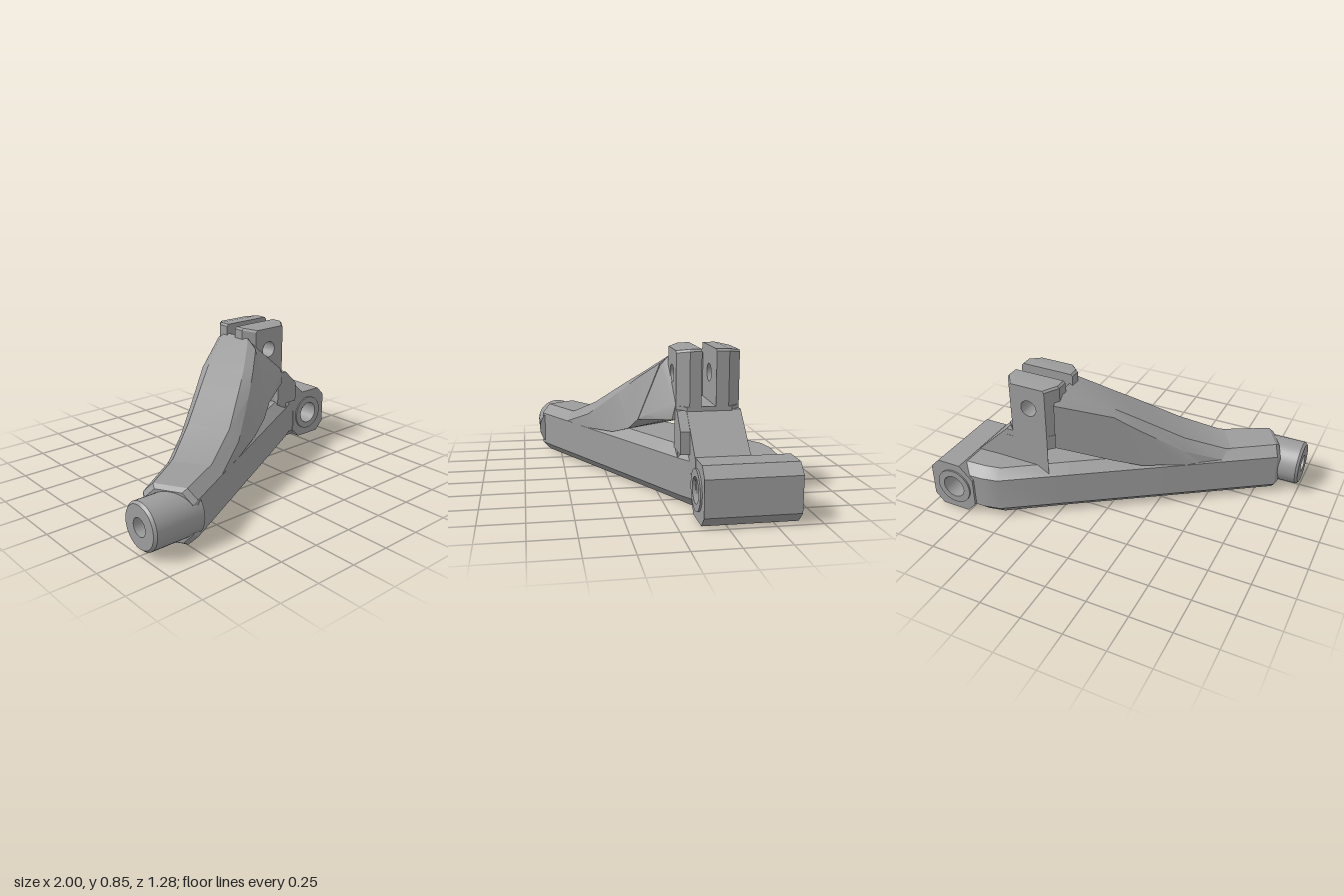
import * as THREE from 'three';
import { toCreasedNormals } from 'three/addons/utils/BufferGeometryUtils.js';
import { ConvexGeometry } from 'three/addons/geometries/ConvexGeometry.js';

const V = (x, y, z) => new THREE.Vector3(x, y, z);
const shapeOf = (pts) => new THREE.Shape(pts.map(([x, y]) => new THREE.Vector2(x, y)));

// Arm frame: s runs along the arm, t across it towards the front.
const C = Math.cos(Math.PI / 6), S = 0.5;
const arm = (s, y, t) => V(s * C + t * S, y, -s * S + t * C);
const nearT = (s) => 0.176 + 0.036 * (s + 0.956);
const farT = (s) => -0.125 - 0.07 * (s + 0.956);

// Skin a row of convex sections and cap both ends.
function loft(sections) {
  const pos = [];
  const tri = (...p) => p.forEach((v) => pos.push(v.x, v.y, v.z));
  const n = sections[0].length, last = sections[sections.length - 1];
  for (let i = 0; i < sections.length - 1; i++) {
    const a = sections[i], b = sections[i + 1];
    for (let j = 0; j < n; j++) {
      const k = (j + 1) % n;
      tri(a[j], a[k], b[k]);
      tri(a[j], b[k], b[j]);
    }
  }
  for (let j = 1; j < n - 1; j++) {
    tri(sections[0][0], sections[0][j + 1], sections[0][j]);
    tri(last[0], last[j], last[j + 1]);
  }
  const g = new THREE.BufferGeometry();
  g.setAttribute('position', new THREE.Float32BufferAttribute(pos, 3));
  g.computeVertexNormals();
  return g;
}

// Chamfered rectangular section between a near and a far edge.
function octagon(near, far, y0, y1, c = 0.057) {
  const d = far.clone().sub(near).normalize().multiplyScalar(c);
  const N = (y, k) => near.clone().addScaledVector(d, k).setY(y);
  const F = (y, k) => far.clone().addScaledVector(d, -k).setY(y);
  return [F(y1, 1), N(y1, 1), N(y1 - c, 0), N(y0 + c, 0), N(y0, 1), F(y0, 1), F(y0 + c, 0), F(y1 - c, 0)];
}

// Side profile extruded along z, with optional round hole [x, y, r].
function sideExtrude(shape, z0, z1, hole, steps = 1) {
  if (hole) shape.holes.push(new THREE.Path().absarc(hole[0], hole[1], hole[2], 0, Math.PI * 2, true));
  return new THREE.ExtrudeGeometry(shape, { depth: z1 - z0, bevelEnabled: false, steps, curveSegments: 20 })
    .translate(0, 0, z0);
}

// Plan outline [x, z] extruded upwards.
function planExtrude(pts, y0, y1) {
  return new THREE.ExtrudeGeometry(shapeOf(pts.map(([x, z]) => [x, -z])), { depth: y1 - y0, bevelEnabled: false })
    .rotateX(-Math.PI / 2).translate(0, y0, 0);
}

// Fork prong: pierced plate whose outer face is drawn in at the corners.
function prong(z0, z1, outerZ) {
  const outline = shapeOf([[0.24, 0.47], [0.58, 0.47], [0.58, 0.838], [0.568, 0.85], [0.252, 0.85], [0.24, 0.838]]);
  const g = sideExtrude(outline, z0, z1, [0.41, 0.7, 0.05], 2);
  const p = g.attributes.position;
  for (let i = 0; i < p.count; i++) {
    if (Math.abs(p.getZ(i) - outerZ) > 0.001) continue;
    if (p.getX(i) < 0.26) p.setX(i, p.getX(i) + 0.06);
    if (p.getX(i) > 0.56) p.setX(i, p.getX(i) - 0.05);
    if (p.getY(i) > 0.8) p.setY(i, p.getY(i) - 0.012);
  }
  return g;
}

export function createModel() {
  const group = new THREE.Group();
  const grey = new THREE.MeshStandardMaterial({ color: 0x9c9c9c });
  grey.name = 'grey';
  const add = (name, geo) => {
    const mesh = new THREE.Mesh(toCreasedNormals(geo, 0.5), grey);
    mesh.name = name;
    group.add(mesh);
  };

  // Lower beam, widening towards the pivot block
  const beamAt = (s, inset = 0) =>
    octagon(arm(s, 0, nearT(s) - inset), arm(s, 0, farT(s) + inset), inset, 0.32 - inset);
  add('lowerBeam', loft([
    beamAt(-0.956, 0.018), beamAt(-0.93), beamAt(-0.3), beamAt(0.35),
    octagon(V(0.6, 0, -0.08), V(0.55, 0, -0.6), 0, 0.32),
    octagon(V(0.67, 0, -0.125), V(0.65, 0, -0.62), 0, 0.32),
    octagon(V(0.78, 0, -0.13), V(0.78, 0, -0.62), 0, 0.315),
  ]));

  // Rising strut above the triangular opening: s, underside, shoulder, top, near inset
  const strut = [
    [-0.8, 0.1, 0.25, 0.31, 0.003],
    [-0.61, 0.1, 0.262, 0.322, 0.001],
    [-0.35, 0.265, 0.355, 0.425, 0.004],
    [-0.08, 0.29, 0.525, 0.58, 0.045],
    [0.08, 0.34, 0.635, 0.67, 0.075],
  ].map(([s, yb, ys, yt, inset]) => {
    const n = nearT(s), f = farT(s);
    return [arm(s, yt, f + 0.055), arm(s, yt, n - inset - 0.055), arm(s, ys, n - inset),
      arm(s, yb, n), arm(s, yb, f), arm(s, ys, f + 0.01)];
  });
  strut.push([[0.79, -0.33], [0.79, -0.1], [0.735, -0.03], [0.41, 0.1], [0.46, -0.395], [0.74, -0.39]]
    .map(([y, z]) => V(0.26, y, z)));
  add('risingStrut', loft(strut));

  // Shoulder blending the strut into the front prong
  const shoulder = [[0.25, 0.41, 0.1], [0.25, 0.73, -0.03], [0.33, 0.45, 0.06], [0.52, 0.46, -0.05],
    [0.52, 0.55, -0.071], [0.26, 0.77, -0.075]];
  add('strutShoulder', new ConvexGeometry(
    shoulder.flatMap(([x, y, z]) => [V(x, y, z), V(x, y, -0.18)])));

  // Fork with its base and the column beneath
  add('frontProng', prong(-0.2, -0.07, -0.07));
  add('backProng', prong(-0.42, -0.28, -0.42));
  add('forkBase', planExtrude([[0.3, -0.07], [0.53, -0.07], [0.58, -0.12], [0.58, -0.37], [0.53, -0.42],
    [0.3, -0.42], [0.24, -0.36], [0.24, -0.13]], 0.45, 0.54));
  add('forkColumn', planExtrude([[0.52, -0.07], [0.58, -0.07], [0.58, -0.42], [0.3, -0.42]], 0.2, 0.48));

  // Sloping gusset and its thin front rib
  add('gusset', sideExtrude(shapeOf([[0.5, 0.2], [0.8, 0.2], [0.8, 0.305], [0.575, 0.52], [0.5, 0.52]]), -0.419, -0.12));
  add('gussetRib', sideExtrude(shapeOf([[0.5, 0.3], [0.665, 0.3], [0.665, 0.425], [0.57, 0.52], [0.5, 0.52]]), -0.12, -0.068));

  // Pivot block with a bushing through it
  add('pivotBlock', sideExtrude(shapeOf([[0.76, 0.001], [0.94, 0.001], [0.997, 0.06], [0.997, 0.26], [0.94, 0.318],
    [0.79, 0.318], [0.705, 0.235], [0.705, 0.06]]), -0.635, -0.122, [0.84, 0.16, 0.09]));
  const ring = new THREE.Shape().absarc(0.84, 0.16, 0.112, 0, Math.PI * 2, false);
  add('pivotBushing', sideExtrude(ring, -0.645, -0.112, [0.84, 0.16, 0.071]));

  // Bored round stub at the far end of the arm
  const profile = [[0, 0.69], [0.135, 0.69], [0.135, 0.985], [0.122, 1], [0.052, 1], [0.052, 0.8], [0, 0.8]]
    .map(([r, y]) => new THREE.Vector2(r, y));
  add('endStub', new THREE.LatheGeometry(profile, 40).rotateZ(Math.PI / 2).translate(0, 0.163, 0.505));

  return group;
}
